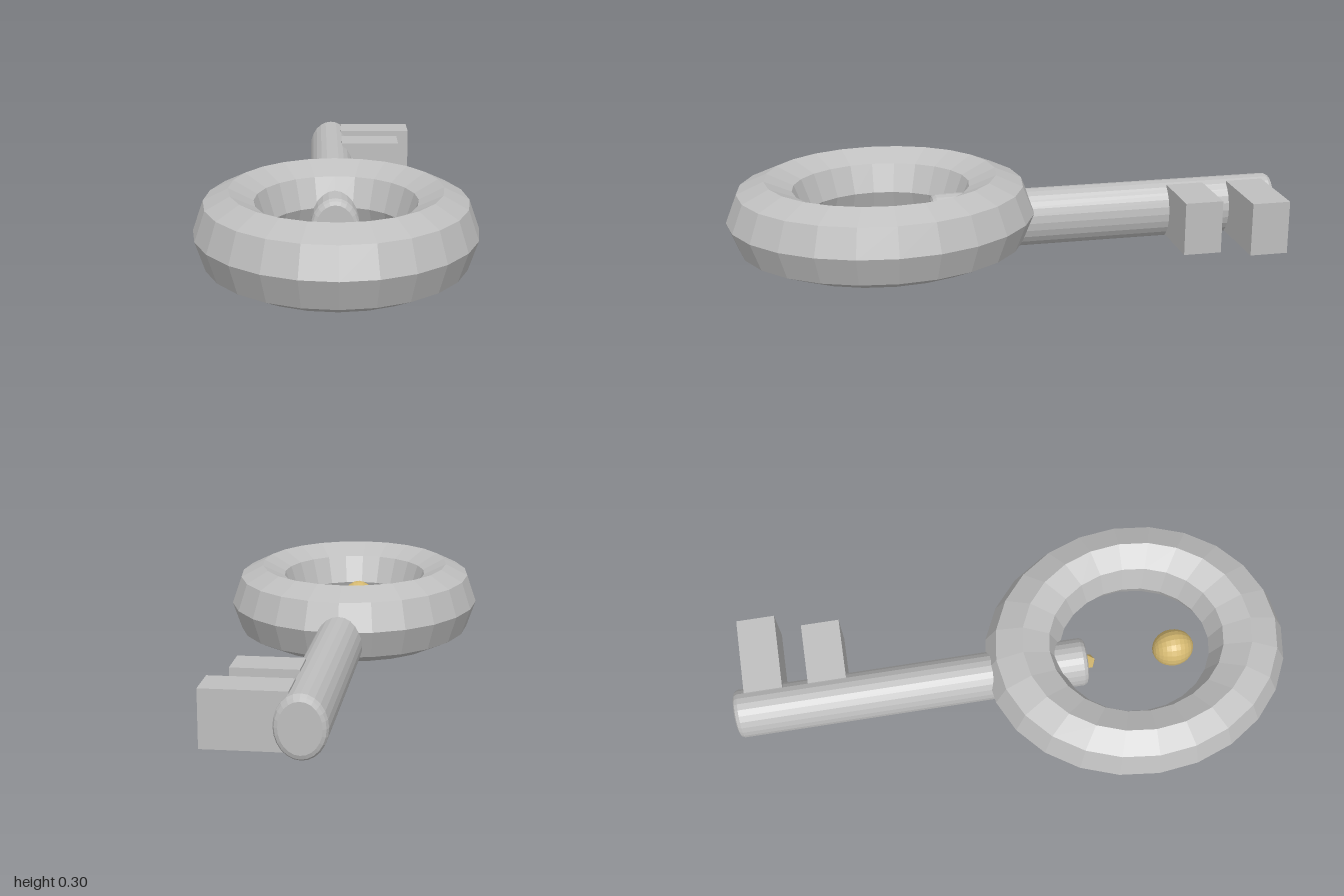
import * as THREE from 'three';

export function createModel() {
  const key = new THREE.Group();
  key.name = 'key';

  const steel = new THREE.MeshStandardMaterial({ color: 0xbebebe, flatShading: true });
  steel.name = 'steel grey';
  const brass = new THREE.MeshStandardMaterial({ color: 0xd4b870, flatShading: true });
  brass.name = 'brass';

  function add(name, geometry, material, x, y, z) {
    const mesh = new THREE.Mesh(geometry, material);
    mesh.name = name;
    mesh.position.set(x, y, z);
    key.add(mesh);
    return mesh;
  }

  // Oval bow: faceted ring with an octagonal section
  const ring = new THREE.TorusGeometry(0.355, 0.118, 8, 24);
  ring.rotateX(Math.PI / 2);
  ring.scale(1, 1.21, 1.152);
  add('bow', ring, steel, 0, 0.158, 0.452);

  // Shaft: slightly oval rod with bevelled ends, running along z
  const half = 0.638;
  const profile = [
    [0, -half], [0.068, -half], [0.079, -half + 0.005], [0.085, -half + 0.017],
    [0.085, half - 0.017], [0.079, half - 0.005], [0.068, half], [0, half],
  ].map(([r, h]) => new THREE.Vector2(r, h));
  const rod = new THREE.LatheGeometry(profile, 24);
  rod.rotateX(Math.PI / 2);
  rod.scale(1, 1.235, 1);
  add('shaft', rod, steel, 0, 0.107, -0.362);

  // Two teeth on the left side, the end one longer
  for (const [name, reach, z] of [['endTooth', 0.318, -0.887], ['innerTooth', 0.265, -0.658]]) {
    const start = 0.04;
    add(name, new THREE.BoxGeometry(reach - start, 0.192, 0.137), steel, (reach + start) / 2, 0.111, z);
  }

  // Brass bead floating in the bow
  const bead = new THREE.SphereGeometry(1, 20, 14);
  bead.rotateX(Math.PI / 2);
  bead.scale(0.065, 0.08, 0.075);
  add('bead', bead, brass, 0, 0.11, 0.6);

  // Small faceted stud on the inner end of the shaft
  const stud = new THREE.IcosahedronGeometry(1, 0);
  stud.scale(0.03, 0.034, 0.034);
  add('stud', stud, brass, 0, 0.1, 0.28);

  return key;
}
